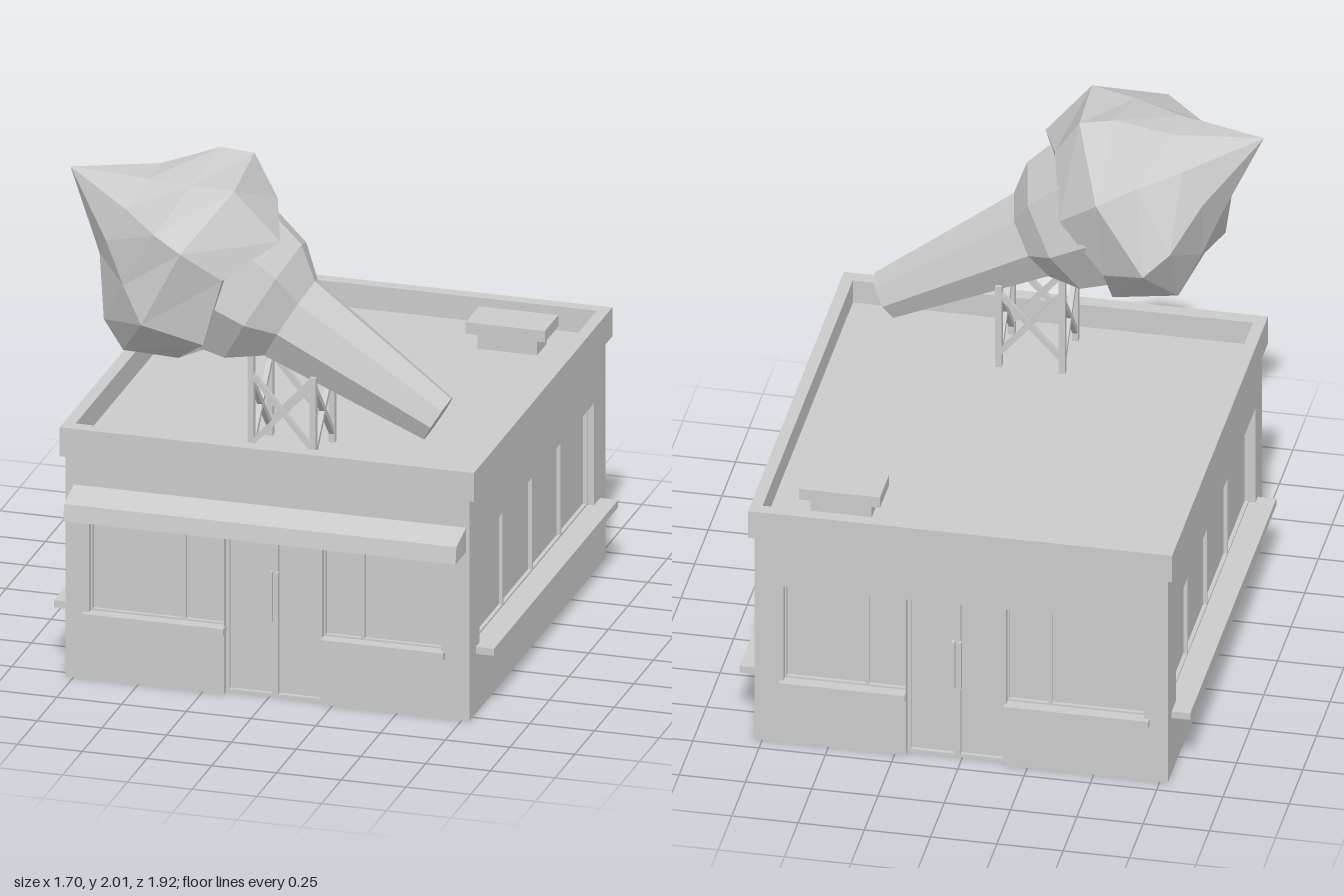
import * as THREE from 'three';

const mat = new THREE.MeshStandardMaterial({ color: 0xcccccc, flatShading: true, side: THREE.DoubleSide });

function add(parent, name, geometry) {
  const m = new THREE.Mesh(geometry, mat);
  m.name = name;
  parent.add(m);
  return m;
}

// box given by its limits on each axis
function box(parent, name, x0, x1, y0, y1, z0, z1) {
  const m = add(parent, name, new THREE.BoxGeometry(Math.abs(x1 - x0), y1 - y0, z1 - z0));
  m.position.set((x0 + x1) / 2, (y0 + y1) / 2, (z0 + z1) / 2);
  return m;
}

// square bar between two points
function bar(parent, name, a, b, w) {
  const A = new THREE.Vector3(...a), B = new THREE.Vector3(...b);
  const m = add(parent, name, new THREE.BoxGeometry(w, w, A.distanceTo(B)));
  m.position.copy(A).add(B).multiplyScalar(0.5);
  m.lookAt(B);
}

function rect(Type, x0, x1, y0, y1) {
  const s = new Type();
  s.moveTo(x0, y0);
  s.lineTo(x1, y0);
  s.lineTo(x1, y1);
  s.lineTo(x0, y1);
  s.closePath();
  return s;
}

// outlined frame made from a rectangle with a hole
function frame(parent, name, x0, x1, y0, y1, w, z, depth) {
  const s = rect(THREE.Shape, x0, x1, y0, y1);
  s.holes.push(rect(THREE.Path, x0 + w, x1 - w, y0 + w, y1 - w));
  add(parent, name, new THREE.ExtrudeGeometry(s, { depth, bevelEnabled: false })).position.z = z;
}

const T = 0.045; // wall thickness

// one wall; its outer face is local z = 0
function facade(parent, name, x0, x1, windows, sills, door, sillOut) {
  const g = new THREE.Group();
  g.name = name;
  parent.add(g);
  const pts = [[x0, 0]];
  if (door) pts.push([door[0], 0], [door[0], 0.67], [door[1], 0.67], [door[1], 0]);
  pts.push([x1, 0], [x1, 0.89], [x0, 0.89]);
  const shape = new THREE.Shape(pts.map(p => new THREE.Vector2(...p)));
  for (const w of windows) shape.holes.push(rect(THREE.Path, w[0], w[w.length - 1], 0.265, 0.67));
  add(g, 'wall', new THREE.ExtrudeGeometry(shape, { depth: T, bevelEnabled: false })).position.z = -T;

  // panes: each window lists its edges and mullions from left to right
  for (const w of windows) {
    box(g, 'glass', w[0], w[w.length - 1], 0.265, 0.67, -T - 0.005, -T + 0.005);
    for (let i = 0; i + 1 < w.length; i++)
      frame(g, 'windowFrame', w[i], w[i + 1], 0.265, 0.67, 0.007, -T, 0.02);
  }
  for (const s of sills) box(g, 'sill', s[0], s[1], 0.237, 0.265, -0.02, sillOut);

  // pair of doors with pull handles
  if (door) {
    const mid = (door[0] + door[1]) / 2;
    box(g, 'doorGlass', door[0], door[1], 0, 0.67, -T - 0.005, -T + 0.005);
    [[door[0], mid], [mid, door[1]]].forEach((d, i) => {
      frame(g, 'doorFrame', d[0], d[1], 0, 0.67, 0.013, -T, 0.02);
      const hx = mid + (i ? 0.012 : -0.012);
      box(g, 'doorHandle', hx - 0.006, hx + 0.006, 0.3, 0.5, -0.025, -0.008);
    });
  }
  return g;
}

function buildBuilding(parent) {
  const g = new THREE.Group();
  g.name = 'building';
  parent.add(g);

  // front and back share a layout, mirrored through the building
  for (const f of [1, -1]) {
    const flip = a => (f > 0 ? a : a.map(v => -v).reverse());
    const wall = facade(g, f > 0 ? 'frontWall' : 'backWall', -0.78, 0.78,
      [flip([-0.69, -0.33, -0.17]), flip([0.21, 0.36, 0.67])],
      [flip([-0.71, -0.165]), flip([0.21, 0.685])], flip([-0.168, 0.208]), 0.022);
    wall.position.z = f > 0 ? 0.79 : -0.94;
    wall.rotation.y = f > 0 ? 0 : Math.PI;
  }
  // side walls with four-pane windows and deep sills
  for (const s of [1, -1]) {
    const map = a => (s > 0 ? a.map(v => -v) : a.slice().reverse());
    const wall = facade(g, s > 0 ? 'leftWall' : 'rightWall', ...map([0.79 - T, -0.94 + T]),
      [map([0.665, 0.28, -0.095, -0.455, -0.79])], [map([0.71, -0.87])], null, 0.07);
    wall.position.x = s * 0.78;
    wall.rotation.y = s * Math.PI / 2;
  }

  // raised floor and the two partitions below it
  box(g, 'floor', -0.74, 0.74, 0.24, 0.255, -0.9, 0.75);
  for (const x of [-0.17, 0.21]) box(g, 'partition', x - 0.003, x + 0.003, 0, 0.24, -0.9, 0.75);

  // flat roof and parapet
  box(g, 'roof', -0.77, 0.77, 0.878, 0.895, -0.93, 0.76);
  const ring = rect(THREE.Shape, -0.8, 0.8, -0.8, 0.96);
  ring.holes.push(rect(THREE.Path, -0.755, 0.755, -0.745, 0.91));
  const parapet = add(g, 'parapet', new THREE.ExtrudeGeometry(ring, { depth: 0.115, bevelEnabled: false }));
  parapet.rotation.x = -Math.PI / 2;
  parapet.position.y = 0.875;

  // awning profile swept along the front
  const p = new THREE.Shape([[0.78, 0.67], [0.925, 0.67], [0.915, 0.735], [0.78, 0.768]]
    .map(([z, y]) => new THREE.Vector2(-z, y)));
  const awning = add(g, 'awning', new THREE.ExtrudeGeometry(p, { depth: 1.515, bevelEnabled: false }));
  awning.rotation.y = Math.PI / 2;
  awning.position.x = -0.748;

  // roof vent
  box(g, 'ventBase', 0.375, 0.605, 0.89, 0.965, -0.765, -0.645);
  box(g, 'ventCap', 0.337, 0.643, 0.96, 1.005, -0.79, -0.62);
}

function buildStand(parent) {
  const g = new THREE.Group();
  g.name = 'stand';
  parent.add(g);
  const X = [-0.105, 0.135], Z = [0.41, 0.65], top = [1.32, 1.24];
  for (const z of Z) {
    X.forEach((x, i) => box(g, 'post', x - 0.012, x + 0.012, 0.89, top[i], z - 0.012, z + 0.012));
    bar(g, 'brace', [X[0], 0.95, z], [X[1], 1.21, z], 0.02);
    bar(g, 'brace', [X[0], 1.23, z], [X[1], 0.95, z], 0.02);
  }
  for (const x of X) {
    bar(g, 'brace', [x, 0.93, Z[0]], [x, 1.2, Z[1]], 0.02);
    bar(g, 'brace', [x, 1.2, Z[0]], [x, 0.93, Z[1]], 0.02);
  }
}

function buildCone(parent) {
  // local y runs along the tilted axis, from the foot to the peak
  const g = new THREE.Group();
  g.name = 'iceCream';
  g.position.set(0.58, 1.08, 0.53);
  g.rotation.z = THREE.MathUtils.degToRad(59.4);
  parent.add(g);
  const lathe = (pts, phase) =>
    new THREE.LatheGeometry(pts.map(q => new THREE.Vector2(...q)), 8, phase);

  add(g, 'cone', lathe([[0, 0], [0.098, 0], [0.18, 0.66], [0.275, 0.775], [0.315, 0.94], [0.25, 0.96]], 0));

  // scoop: dripping lower edge, uneven bulge and a pulled peak
  const geo = lathe([[0.29, 0.93], [0.345, 0.9], [0.435, 1.1], [0.36, 1.23], [0.2, 1.38], [0, 1.65]], Math.PI / 8);
  const drip = [0.03, -0.06, 0.05, 0, 0.04, -0.07, 0.02, -0.04];
  const swell = [1.03, 0.96, 1, 0.98, 1.01, 0.97, 1.02, 1];
  const pos = geo.attributes.position;
  for (let i = 0; i < pos.count; i++) {
    const col = Math.floor(i / 6) % 8, row = i % 6;
    if (row === 1) pos.setY(i, pos.getY(i) + drip[col]);
    if (row === 2) pos.setY(i, pos.getY(i) + drip[col] * 0.3);
    let k = row === 0 ? 1 : swell[col];
    if (row === 3) k *= col % 2 ? 0.9 : 1.06;
    pos.setX(i, pos.getX(i) * k);
    pos.setZ(i, pos.getZ(i) * k + (row > 0 && row < 4 ? 0.015 : 0));
  }
  geo.computeVertexNormals();
  add(g, 'scoop', geo);
}

export function createModel() {
  const model = new THREE.Group();
  model.name = 'iceCreamShop';
  buildBuilding(model);
  buildStand(model);
  buildCone(model);
  return model;
}
